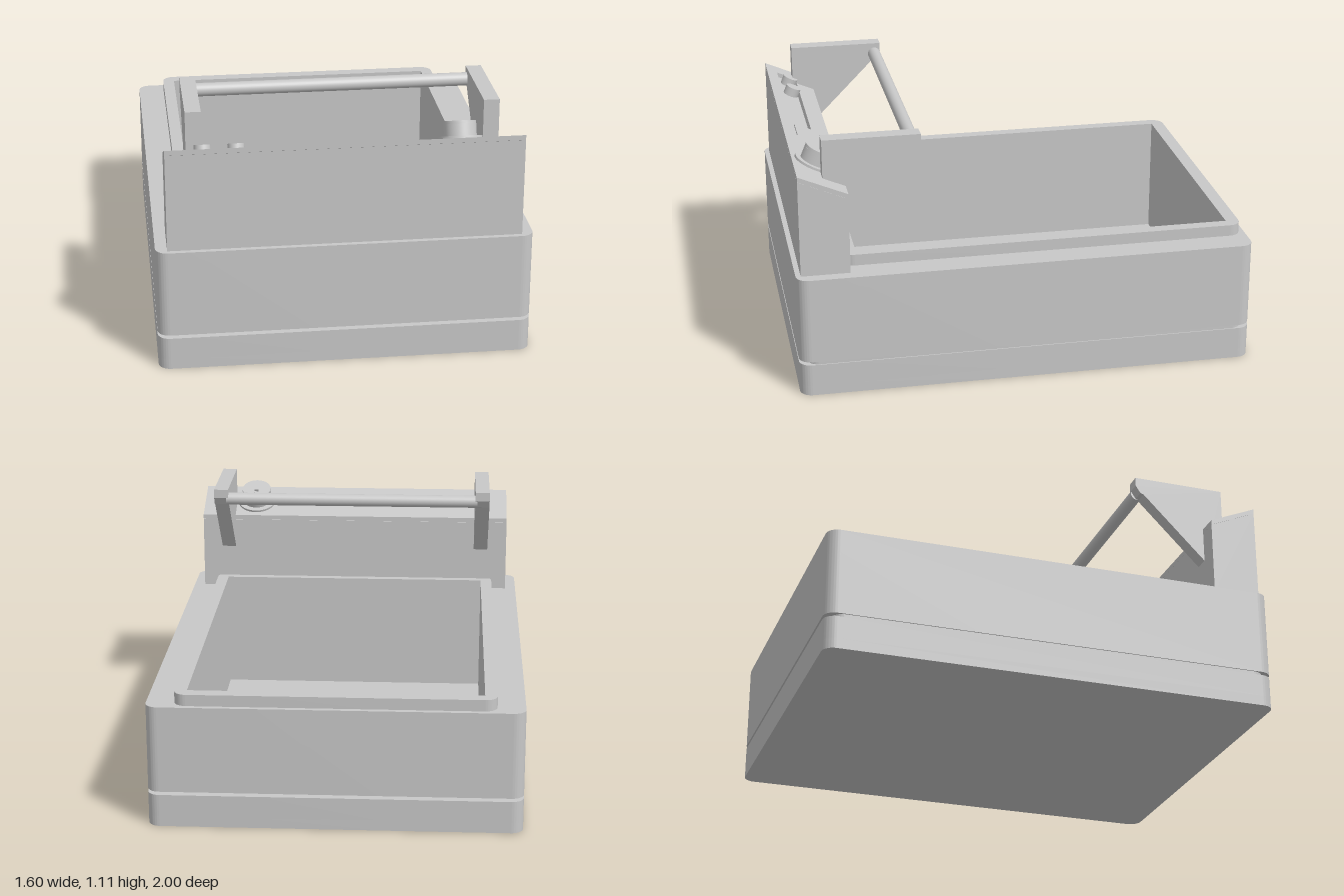
import * as THREE from 'three';
import { toCreasedNormals } from 'three/addons/utils/BufferGeometryUtils.js';

const TILT = 0.405; // slope of the control panel
const grey = new THREE.MeshStandardMaterial({ color: 0xc8c8c8 });
grey.name = 'grey';

function add(parent, name, geometry, x = 0, y = 0, z = 0) {
  const mesh = new THREE.Mesh(geometry, grey);
  mesh.name = name;
  mesh.position.set(x, y, z);
  parent.add(mesh);
  return mesh;
}

// Trace a rectangle, rounded when r > 0
function rect(path, x0, x1, z0, z1, r = 0) {
  if (r === 0) {
    path.moveTo(x0, z0).lineTo(x1, z0).lineTo(x1, z1).lineTo(x0, z1).closePath();
    return path;
  }
  path.moveTo(x0 + r, z0);
  path.absarc(x1 - r, z0 + r, r, -Math.PI / 2, 0);
  path.absarc(x1 - r, z1 - r, r, 0, Math.PI / 2);
  path.absarc(x0 + r, z1 - r, r, Math.PI / 2, Math.PI);
  path.absarc(x0 + r, z0 + r, r, Math.PI, Math.PI * 1.5);
  return path;
}

// Extrude an x/z outline downwards from y = 0
function slab(shape, depth) {
  const g = new THREE.ExtrudeGeometry(shape, { depth, bevelEnabled: false, curveSegments: 12 });
  return toCreasedNormals(g.rotateX(Math.PI / 2), 0.5);
}

// Extrude a z/y side profile across x, centred
function sideProfile(points, width) {
  const shape = new THREE.Shape(points.map(([z, y]) => new THREE.Vector2(-z, y)));
  const g = new THREE.ExtrudeGeometry(shape, { depth: width, bevelEnabled: false });
  return g.translate(0, 0, -width / 2).rotateY(Math.PI / 2);
}

export function createModel() {
  const model = new THREE.Group();
  model.name = 'device';

  // Tub: solid floor, then hollow layers with a groove between them
  const layers = [
    ['tubFloor', 0.8, -1, 1, 0, 0.045, false],
    ['lowerWall', 0.8, -1, 1, 0.045, 0.143, true],
    ['groove', 0.795, -0.965, 0.965, 0.143, 0.158, true],
    ['upperWall', 0.8, -1, 1, 0.158, 0.54, true],
    ['rim', 0.68, -0.978, 0.79, 0.54, 0.59, true],
  ];
  for (const [name, hx, z0, z1, y0, y1, hollow] of layers) {
    const shape = rect(new THREE.Shape(), -hx, hx, z0, z1, 0.053);
    if (hollow) shape.holes.push(rect(new THREE.Path(), -0.627, 0.627, -0.92, 0.73));
    add(model, name, slab(shape, y1 - y0), 0, y1, 0);
  }

  // Upright console with a sloping top
  const drop = 0.02 / Math.cos(TILT);
  add(model, 'console', sideProfile(
    [[0.978, 0.54], [0.978, 0.99 - drop], [0.766, 0.899 - drop], [0.766, 0.54]], 1.5));

  // Control panel in its own tilted frame, local y is the panel normal
  const panel = new THREE.Group();
  panel.name = 'controlPanel';
  panel.position.set(0, 0.945, 0.872);
  panel.rotation.x = -TILT;
  model.add(panel);

  const half = 0.106 / Math.cos(TILT);
  const plate = rect(new THREE.Shape(), -0.75, 0.75, -half, half);
  // Display recess with a narrow slit running out of its side
  plate.holes.push(new THREE.Path([
    [-0.66, -0.03], [0.045, -0.03], [0.045, 0.05], [0.185, 0.05],
    [0.185, 0.054], [0.045, 0.054], [0.045, 0.063], [-0.66, 0.063],
  ].map(([x, z]) => new THREE.Vector2(x, z))));
  const plateGeometry = slab(plate, 0.02);
  const p = plateGeometry.attributes.position;
  for (let i = 0; i < p.count; i++) { // keep the outer walls upright
    if (Math.abs(p.getZ(i)) > half - 0.005 && p.getY(i) < -0.01) {
      p.setZ(i, p.getZ(i) - 0.02 * Math.tan(TILT));
    }
  }
  plateGeometry.computeVertexNormals();
  add(panel, 'panelPlate', plateGeometry);

  for (const x of [-0.59, -0.45]) {
    add(panel, 'button', new THREE.CylinderGeometry(0.035, 0.035, 0.04, 32), x, 0, 0.008);
  }

  // Dial with a pointer notch in its top
  add(panel, 'dialFlange', new THREE.CylinderGeometry(0.094, 0.094, 0.01, 48), 0.492, 0.005, 0.003);
  add(panel, 'dial', new THREE.CylinderGeometry(0.07, 0.07, 0.052, 48), 0.492, 0.036, 0.003);
  const cap = new THREE.Shape();
  const a = Math.asin(0.01 / 0.07);
  cap.absarc(0, 0, 0.07, -Math.PI / 2 + a, Math.PI * 1.5 - a);
  cap.lineTo(-0.01, -0.005).lineTo(0.01, -0.005).closePath();
  add(panel, 'dialCap', slab(cap, 0.012), 0.492, 0.074, 0.003);

  // Handle: two brackets and a bar
  const bracket = sideProfile([
    [0.863, 0.74], [0.863, 1.11], [0.443, 1.11], [0.443, 1.07],
    [0.465, 1.035], [0.48, 1.03], [0.766, 0.74],
  ], 0.067);
  for (const side of [-1, 1]) add(model, 'handleBracket', bracket, side * 0.624, 0, 0);
  const bar = new THREE.CylinderGeometry(0.029, 0.029, 1.2, 32).rotateZ(Math.PI / 2);
  add(model, 'handleBar', bar, 0, 1.06, 0.471);

  return model;
}
